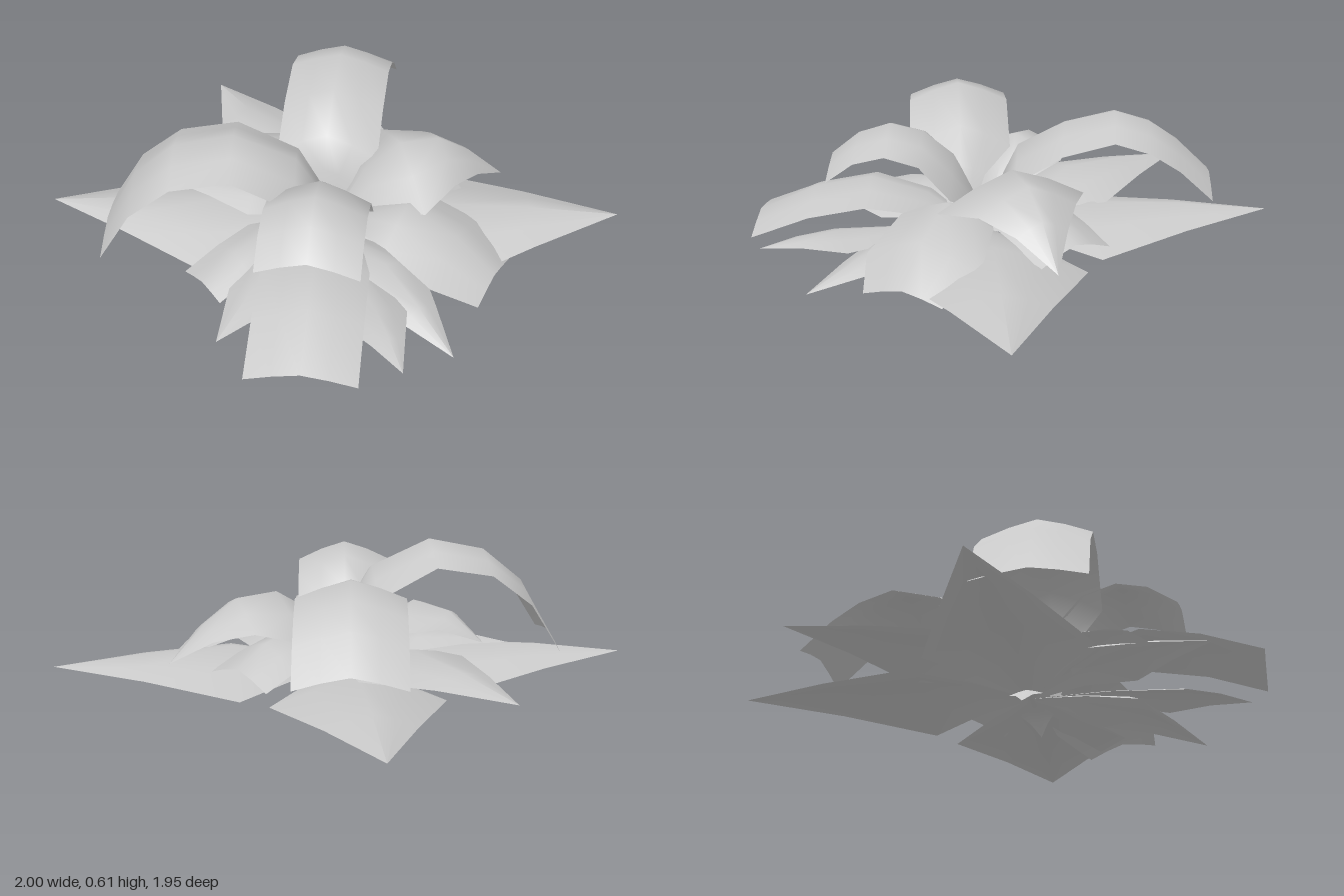
import * as THREE from 'three';

const ROOT = [-0.05, 0.05]; // x, z where the leaves meet

// A leaf runs from its root to end [x, z].
// Stations: [fraction of length, height, half width, edge drop].
function leafGeometry([ex, ez], stations, [rx, rz], cols = 4) {
  const dx = ex - rx, dz = ez - rz, len = Math.hypot(dx, dz);
  const sx = -dz / len, sz = dx / len;
  const pos = [], index = [];
  stations.forEach(([t, y, hw, drop], i) => {
    for (let j = 0; j <= cols; j++) {
      const u = (j / cols) * 2 - 1;
      pos.push(rx + dx * t + sx * hw * u, y - drop * Math.pow(Math.abs(u), 1.3), rz + dz * t + sz * hw * u);
      if (i < stations.length - 1 && j < cols) {
        const a = i * (cols + 1) + j, b = a + cols + 1;
        index.push(a, a + 1, b, a + 1, b + 1, b);
      }
    }
  });
  const g = new THREE.BufferGeometry();
  g.setAttribute('position', new THREE.Float32BufferAttribute(pos, 3));
  g.setIndex(index);
  g.computeVertexNormals();
  return g;
}

// Pointed leaf: widest at fraction w, then straight to the tip
const pointed = (w, hw, yMid, yTip, drop) => [
  [0, 0.08, 0.01, 0],
  [w * 0.5, 0.08 + (yMid - 0.08) * 0.65, hw * 0.5, drop * 0.5],
  [w, yMid, hw, drop],
  [(1 + w) / 2, (yMid + yTip) / 2 + 0.01, hw / 2, drop / 2],
  [1, yTip, 0, 0],
];

// Square-ended leaf
const blunt = (hw, yMid, yEnd, drop) => [
  [0, 0.08, 0.01, 0],
  [0.25, 0.08 + (yMid - 0.08) * 0.7, hw * 0.75, drop * 0.7],
  [0.5, yMid, hw, drop],
  [0.75, yMid * 0.7 + yEnd * 0.3, hw, drop],
  [1, yEnd, hw, drop * 0.7],
];

export function createModel() {
  const group = new THREE.Group();
  const grey = new THREE.MeshStandardMaterial({ color: 0xc8c8c8, side: THREE.DoubleSide });
  grey.name = 'leaf grey';

  const add = (name, end, stations, root = ROOT) => {
    const mesh = new THREE.Mesh(leafGeometry(end, stations, root), grey);
    mesh.name = name;
    group.add(mesh);
  };

  // Tall arching leaves
  add('archLeafBackLeft', [0.505, -0.69], [
    [0, 0.1, 0.02, 0], [0.05, 0.32, 0.12, 0.05], [0.12, 0.45, 0.21, 0.1], [0.33, 0.55, 0.21, 0.08],
    [0.56, 0.6, 0.21, 0.07], [0.72, 0.56, 0.21, 0.07], [0.85, 0.48, 0.21, 0.06], [1, 0.35, 0.21, 0.05],
  ], [-0.05, 0.01]);
  add('archLeafBackRight', [-0.87, -0.34], [
    [0, 0.1, 0.02, 0], [0.07, 0.35, 0.1, 0.04], [0.17, 0.5, 0.21, 0.1], [0.43, 0.61, 0.21, 0.08],
    [0.68, 0.56, 0.21, 0.07], [0.86, 0.42, 0.21, 0.06], [1, 0.19, 0.21, 0.04],
  ], [-0.07, 0.15]);
  add('archLeafFrontRight', [-0.43, 0.55], [
    [0, 0.1, 0.02, 0], [0.08, 0.26, 0.1, 0.05], [0.2, 0.41, 0.2, 0.13], [0.4, 0.51, 0.2, 0.09],
    [0.62, 0.54, 0.2, 0.08], [0.82, 0.5, 0.2, 0.07], [1, 0.41, 0.2, 0.06],
  ]);
  add('archLeafLeft', [0.7, 0.23], [
    [0, 0.1, 0.01, 0], [0.2, 0.35, 0.16, 0.08], [0.4, 0.45, 0.31, 0.14],
    [0.62, 0.44, 0.2, 0.1], [0.8, 0.35, 0.105, 0.05], [1, 0.2, 0, 0],
  ]);
  add('archLeafBack', [-0.35, -0.47], [
    [0, 0.1, 0.01, 0], [0.25, 0.31, 0.12, 0.05], [0.5, 0.41, 0.22, 0.09], [0.75, 0.38, 0.12, 0.05], [1, 0.26, 0, 0],
  ]);

  // Middle layer of square-ended leaves
  add('midLeafFrontRight', [-0.605, 0.81], blunt(0.21, 0.31, 0.16, 0.06));
  add('midLeafFrontLeft', [0.345, 0.685], [
    [0, 0.1, 0.01, 0], [0.25, 0.26, 0.11, 0.05], [0.48, 0.33, 0.2, 0.08], [0.77, 0.25, 0.24, 0.09], [1, 0.12, 0.165, 0.04],
  ]);
  add('midLeafRight', [-0.68, 0.15], blunt(0.12, 0.22, 0.13, 0.04));
  add('midLeafLeft', [0.52, 0.01], blunt(0.18, 0.31, 0.2, 0.08));

  // Low pointed leaves: [tip, widest fraction, half width, mid height, tip height, drop]
  [
    [[1, 0.65], 0.39, 0.37, 0.2, 0.14, 0.12],
    [[0.57, -0.97], 0.38, 0.35, 0.19, 0.14, 0.11],
    [[-0.04, -0.98], 0.42, 0.27, 0.27, 0.21, 0.08],
    [[-1, -0.63], 0.41, 0.33, 0.19, 0.14, 0.11],
    [[-0.27, 0.97], 0.66, 0.13, 0.17, 0.14, 0.05],
    [[0, 0.91], 0.48, 0.17, 0.17, 0.03, 0.07],
    [[-0.77, 0.46], 0.47, 0.19, 0.21, 0.11, 0.08],
    [[-0.55, -0.41], 0.45, 0.15, 0.27, 0.21, 0.06],
  ].forEach(([tip, ...shape], i) => add(`lowLeaf${i + 1}`, tip, pointed(...shape)));

  // Small leaflets bending down under the crown
  [[-0.2, -0.06], [0.13, 0.18]].forEach((tip, i) =>
    add(`underLeaflet${i + 1}`, tip, pointed(0.55, 0.07, 0.08, 0, 0.02)));

  return group;
}
